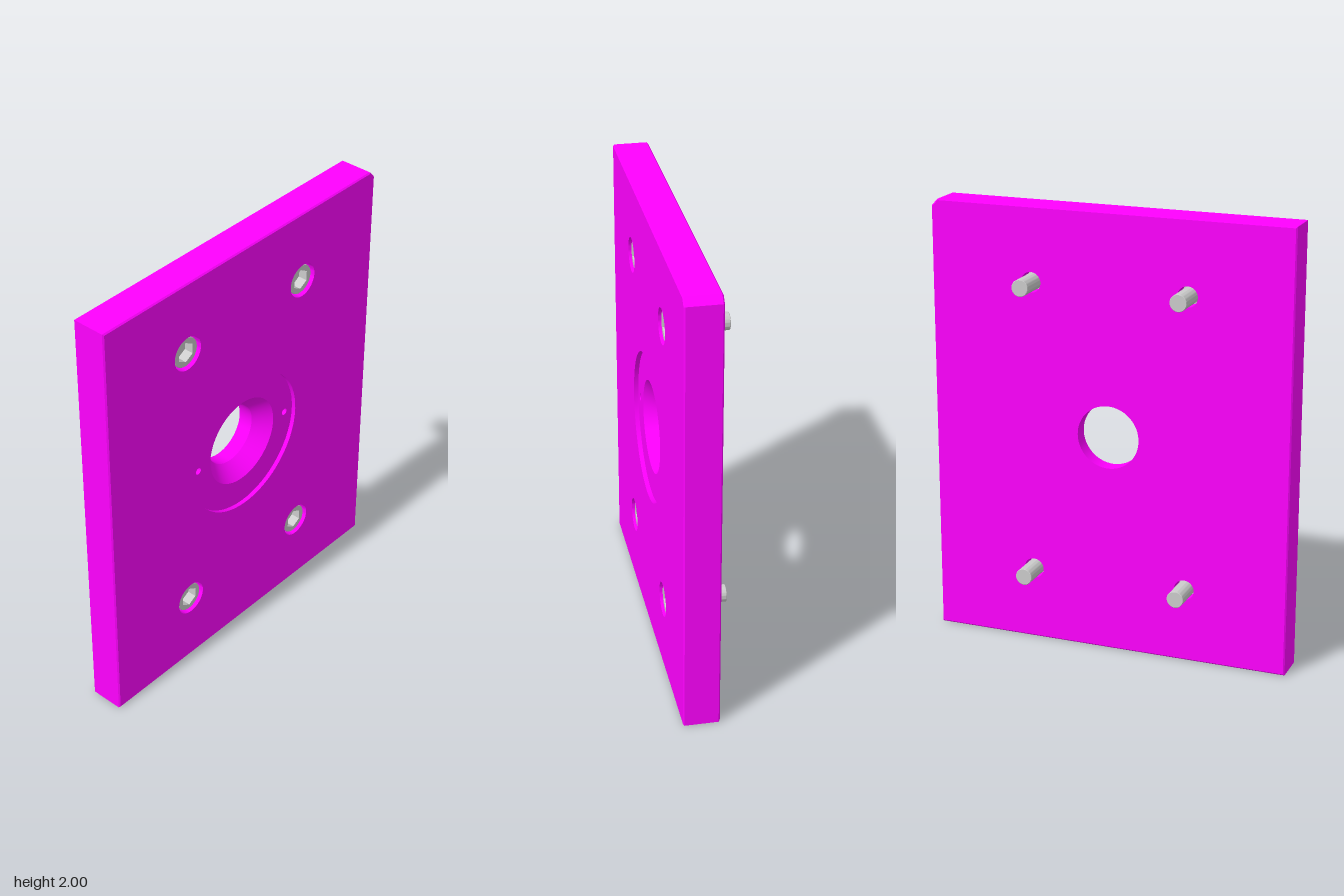
import * as THREE from 'three';
import { mergeGeometries, toCreasedNormals } from 'three/addons/utils/BufferGeometryUtils.js';

const FRONT = 0.14, BACK = -0.02, MID = 1;
const W = 0.83, H = 1, CORNER = 0.03, EDGE = 0.006;
const FLOOR = 0.12;                       // floor of the central recess
const PIN_X = 0.283, PIN_R = 0.016;
const BOLTS = [[-0.36, 0.335], [0.36, 0.335], [0.36, 1.665], [-0.36, 1.665]];

const v2 = (x, y) => new THREE.Vector2(x, y);

// Revolve [radius, z] pairs about z; running front to back faces inward (a hole).
function turned(profile, segments = 64, x = 0, y = 0) {
  const g = new THREE.LatheGeometry(profile.map(p => v2(...p)), segments);
  g.rotateX(Math.PI / 2);
  return toCreasedNormals(g, 0.4).translate(x, y, 0);
}

function circle(x, y, r) {
  return new THREE.Path().absarc(x, y, r, 0, Math.PI * 2, true);
}

// Plate outline with one clipped corner, inset by d
function outline(d) {
  const w = W - d, h = H - d, c = CORNER - d * 0.59;
  return [[-w, -h], [w, -h], [w, h - c], [w - c, h], [-w, h]].map(([x, y]) => v2(x, y + MID));
}

function face(points, holes, z, flip) {
  const s = new THREE.Shape(points);
  s.holes.push(...holes);
  const g = new THREE.ShapeGeometry(s, 32);
  if (flip) {
    const ix = g.index.array;
    for (let i = 0; i < ix.length; i += 3) [ix[i], ix[i + 1]] = [ix[i + 1], ix[i]];
    g.computeVertexNormals();
  }
  return g.translate(0, 0, z).toNonIndexed();
}

// Flat side walls with a fine bevel at the front and back edges
function rim() {
  const rings = [[EDGE, BACK], [0, BACK + EDGE], [0, FRONT - EDGE], [EDGE, FRONT]]
    .map(([d, z]) => outline(d).map(p => [p.x, p.y, z]));
  const pos = [], uv = [];
  for (let k = 0; k < 3; k++) {
    for (let i = 0; i < 5; i++) {
      const j = (i + 1) % 5;
      const a = rings[k][i], b = rings[k][j], c = rings[k + 1][j], d = rings[k + 1][i];
      pos.push(...a, ...b, ...c, ...a, ...c, ...d);
      uv.push(0, 0, 1, 0, 1, 1, 0, 0, 1, 1, 0, 1);
    }
  }
  const g = new THREE.BufferGeometry();
  g.setAttribute('position', new THREE.Float32BufferAttribute(pos, 3));
  g.setAttribute('uv', new THREE.Float32BufferAttribute(uv, 2));
  g.computeVertexNormals();
  return g;
}

function plateGeometry() {
  const pins = [-PIN_X, PIN_X];
  const parts = [
    rim(),
    face(outline(EDGE), [circle(0, MID, 0.335), ...BOLTS.map(([x, y]) => circle(x, y, 0.078))], FRONT),
    face(outline(EDGE), [circle(0, MID, 0.143), ...BOLTS.map(([x, y]) => circle(x, y, 0.046))], BACK, true),
    // recess wall, recess floor, countersink and bore
    turned([[0.335, FRONT], [0.335, FLOOR]], 64, 0, MID),
    face(new THREE.Path().absarc(0, MID, 0.335, 0, Math.PI * 2).getPoints(32).slice(0, -1),
      [circle(0, MID, 0.207), ...pins.map(x => circle(x, MID, PIN_R))], FLOOR),
    turned([[0.207, FLOOR], [0.143, 0.05], [0.143, BACK]], 64, 0, MID),
    // blind pin holes
    ...pins.map(x => turned([[PIN_R, FLOOR], [PIN_R, 0.08], [0, 0.08]], 64, x, MID)),
    // counterbored bolt holes
    ...BOLTS.map(([x, y]) => turned([[0.078, FRONT], [0.078, 0.05], [0.046, 0.05], [0.046, BACK]], 64, x, y)),
  ];
  return mergeGeometries(parts);
}

// Socket head bolt along z
function boltGeometry() {
  const top = 0.128, hexR = 0.047;
  const hex = [0, 1, 2, 3, 4, 5].map(i => {
    const a = Math.PI / 2 - i * Math.PI / 3;
    return v2(hexR * Math.cos(a), hexR * Math.sin(a));
  });
  const headRim = new THREE.Path().absarc(0, 0, 0.066, 0, Math.PI * 2).getPoints(32).slice(0, -1);
  return mergeGeometries([
    turned([[0, -0.14], [0.036, -0.14], [0.038, -0.138], [0.038, 0.05], [0.068, 0.05], [0.068, top - 0.002], [0.066, top]]),
    face(headRim, [new THREE.Path(hex)], top),
    turned([[hexR, top], [hexR, 0.085], [0, 0.085]], 6),
  ]);
}

export function createModel() {
  const model = new THREE.Group();
  model.name = 'mountingPlate';

  const plate = new THREE.Mesh(plateGeometry(), new THREE.MeshStandardMaterial({ color: 0xff00ff }));
  plate.name = 'plate';
  model.add(plate);

  const grey = new THREE.MeshStandardMaterial({ color: 0xcccccc });
  const boltGeo = boltGeometry();
  BOLTS.forEach(([x, y], i) => {
    const bolt = new THREE.Mesh(boltGeo, grey);
    bolt.name = 'bolt' + (i + 1);
    bolt.position.set(x, y, 0);
    model.add(bolt);
  });
  return model;
}
